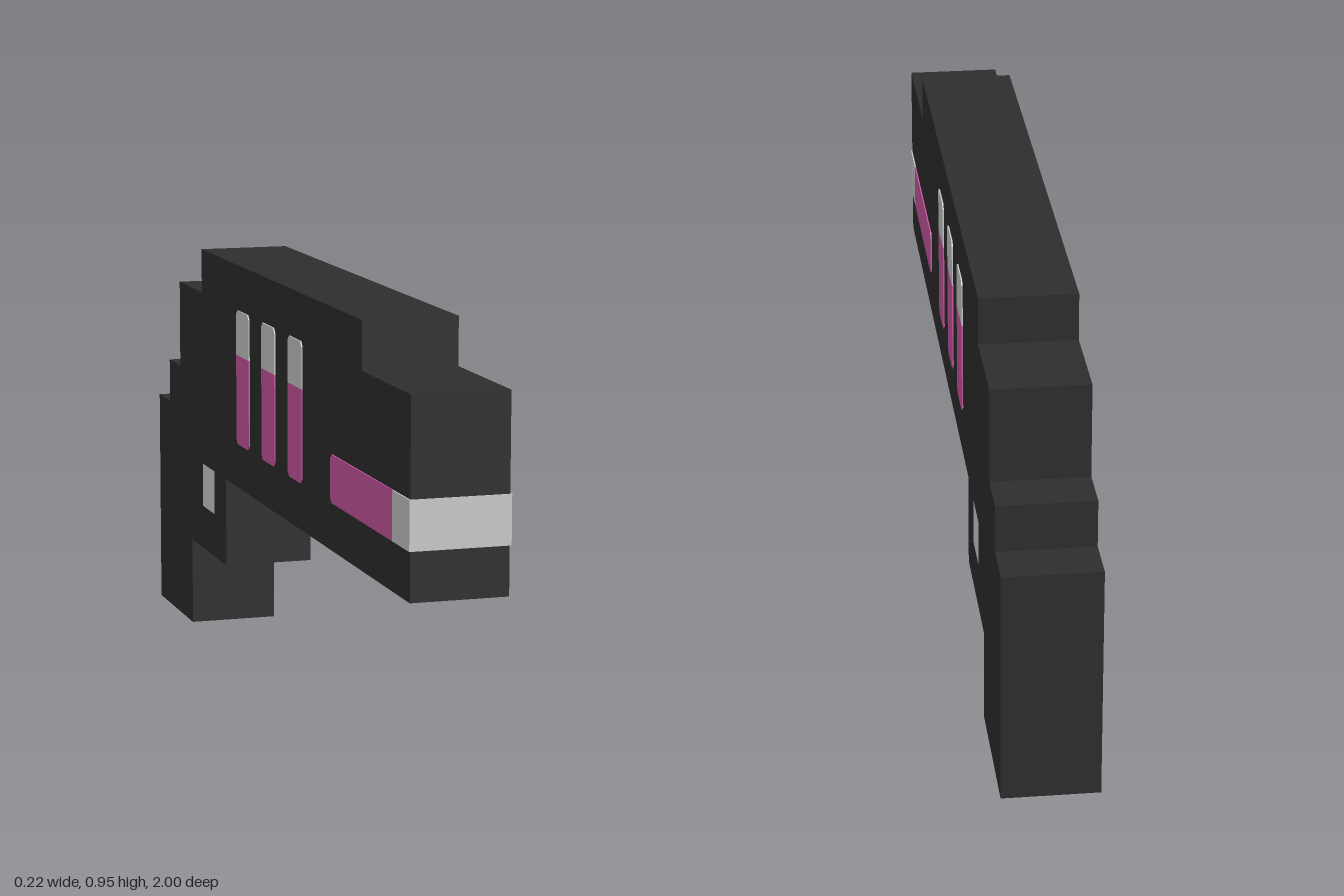
import * as THREE from 'three';

const U = 2 / 19;          // one block of the 19 x 9 x 2 layout
const HALF = U;            // half the body thickness
const T = 0.003;           // plate thickness
const zAt = u => 1 - u * U; // u counts blocks back from the muzzle

const charcoal = new THREE.MeshStandardMaterial({ color: 0x2d2d2d });
charcoal.name = 'charcoal';
const lightGrey = new THREE.MeshStandardMaterial({ color: 0xc9c9c9 });
lightGrey.name = 'lightGrey';
const pink = new THREE.MeshStandardMaterial({ color: 0xc957a1 });
pink.name = 'pink';

// Extrude a side outline (z, y) along x from x0 to x0 + width
function slab(name, shape, x0, width, material) {
  const g = new THREE.ExtrudeGeometry(shape, { depth: width, bevelEnabled: false });
  g.rotateY(-Math.PI / 2);
  g.translate(x0 + width, 0, 0);
  const mesh = new THREE.Mesh(g, material);
  mesh.name = name;
  return mesh;
}

const points = list => list.map(([u, v]) => new THREE.Vector2(zAt(u), v * U));

export function createModel() {
  const group = new THREE.Group();
  group.name = 'blockBlaster';

  // Stepped body, grip and trigger guard with its opening
  const outline = new THREE.Shape(points([
    [0, 4], [13, 4], [13, 2], [16, 2], [16, 0], [19, 0], [19, 5], [18, 5],
    [18, 6], [17, 6], [17, 8], [15, 8], [15, 9], [3, 9], [3, 8], [0, 8],
  ]));
  outline.holes.push(new THREE.Path(points([[14, 3], [15, 3], [15, 4], [14, 4]])));
  group.add(slab('body', outline, -HALF, 2 * HALF, charcoal));

  // Plates on both sides; c trims the corners at the chosen end
  const c = 0.1;
  const plates = [
    ['muzzlePlate', lightGrey, [[0, 5], [1, 5], [1, 6], [0, 6]]],
    ['barrelStripe', pink, [[1, 5], [5 - c, 5], [5, 5 + c], [5, 6 - c], [5 - c, 6], [1, 6]]],
  ];
  for (const u of [7, 9, 11]) {
    plates.push(['ventStripe', pink, [[u + c, 5], [u + 1 - c, 5], [u + 1, 5 + c], [u + 1, 7], [u, 7], [u, 5 + c]]]);
    plates.push(['ventCap', lightGrey, [[u, 7], [u + 1, 7], [u + 1, 8 - c], [u + 1 - c, 8], [u + c, 8], [u, 8 - c]]]);
  }
  for (const [name, material, list] of plates) {
    const shape = new THREE.Shape(points(list));
    group.add(slab(name + 'Left', shape, HALF, T, material));
    group.add(slab(name + 'Right', shape, -HALF - T, T, material));
  }

  // Muzzle band across the front
  const band = new THREE.Mesh(new THREE.BoxGeometry(2 * (HALF + T), U, T), lightGrey);
  band.name = 'muzzleBand';
  band.position.set(0, 5.5 * U, 1 + T / 2);
  group.add(band);

  return group;
}
